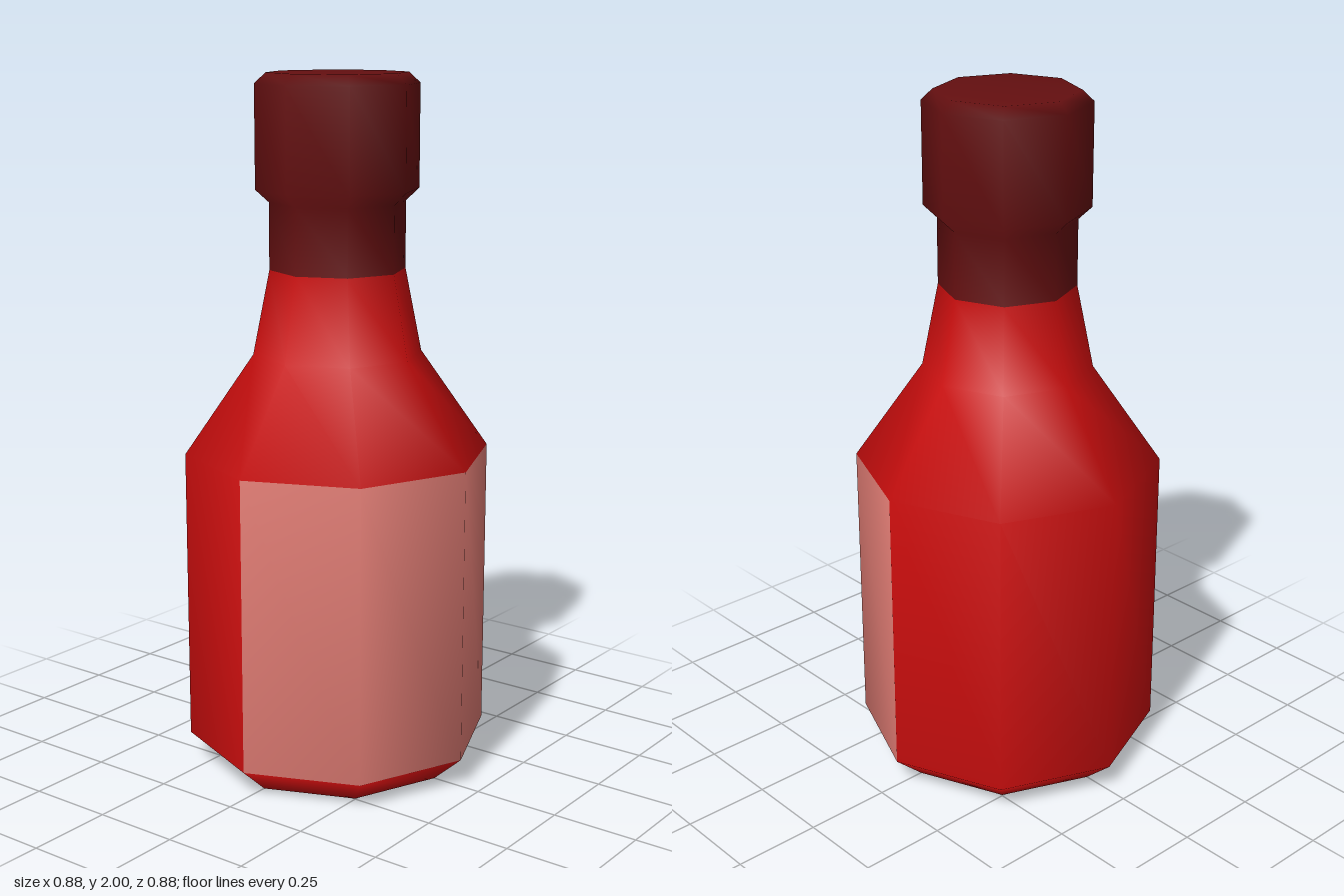
import * as THREE from 'three';

const SIDES = 8;

// Bottle outline from the centre of the base to the centre of the lid: [radius, height]
const PROFILE = [
  [0, 0], [0.35, 0], [0.44, 0.08], [0.44, 0.93], [0.242, 1.215],
  [0.194, 1.455], [0.194, 1.645], [0.232, 1.68], [0.232, 1.97], [0.2, 2], [0, 2],
];
const LABEL_BAND = 2; // straight wall of the body
const NECK_BAND = 5; // first band of the dark neck
const LID_BAND = 6; // first band of the lid

function material(name, color) {
  const m = new THREE.MeshStandardMaterial({ color });
  m.name = name;
  return m;
}

export function createModel() {
  const red = material('red glass', 0xcc0e0e);
  const dark = material('dark red lid', 0x640f10);
  const pink = material('pink label', 0xdd7a72);

  // One smooth eight-sided lathe; the first half of its sides faces the front
  const lathe = new THREE.LatheGeometry(
    PROFILE.map(([r, y]) => new THREE.Vector2(r, y)), SIDES, -Math.PI / 2);
  const bands = PROFILE.length - 1;
  const source = lathe.index.array;
  const group = new THREE.Group();
  group.name = 'bottle';

  // Takes the lathe's quads chosen by a rule, keeping the shared smooth normals
  function addPart(name, mat, belongs) {
    const index = [];
    for (let side = 0; side < SIDES; side++) {
      for (let band = 0; band < bands; band++) {
        if (!belongs(side, band)) continue;
        const start = (side * bands + band) * 6;
        index.push(...source.slice(start, start + 6));
      }
    }
    const geometry = lathe.clone();
    geometry.setIndex(index);
    const mesh = new THREE.Mesh(geometry, mat);
    mesh.name = name;
    group.add(mesh);
  }

  const isLabel = (side, band) => band === LABEL_BAND && side < SIDES / 2;
  addPart('body', red, (side, band) => band < NECK_BAND && !isLabel(side, band));
  addPart('label', pink, isLabel);
  addPart('neck', dark, (side, band) => band === NECK_BAND);
  addPart('lid', dark, (side, band) => band >= LID_BAND);
  return group;
}
